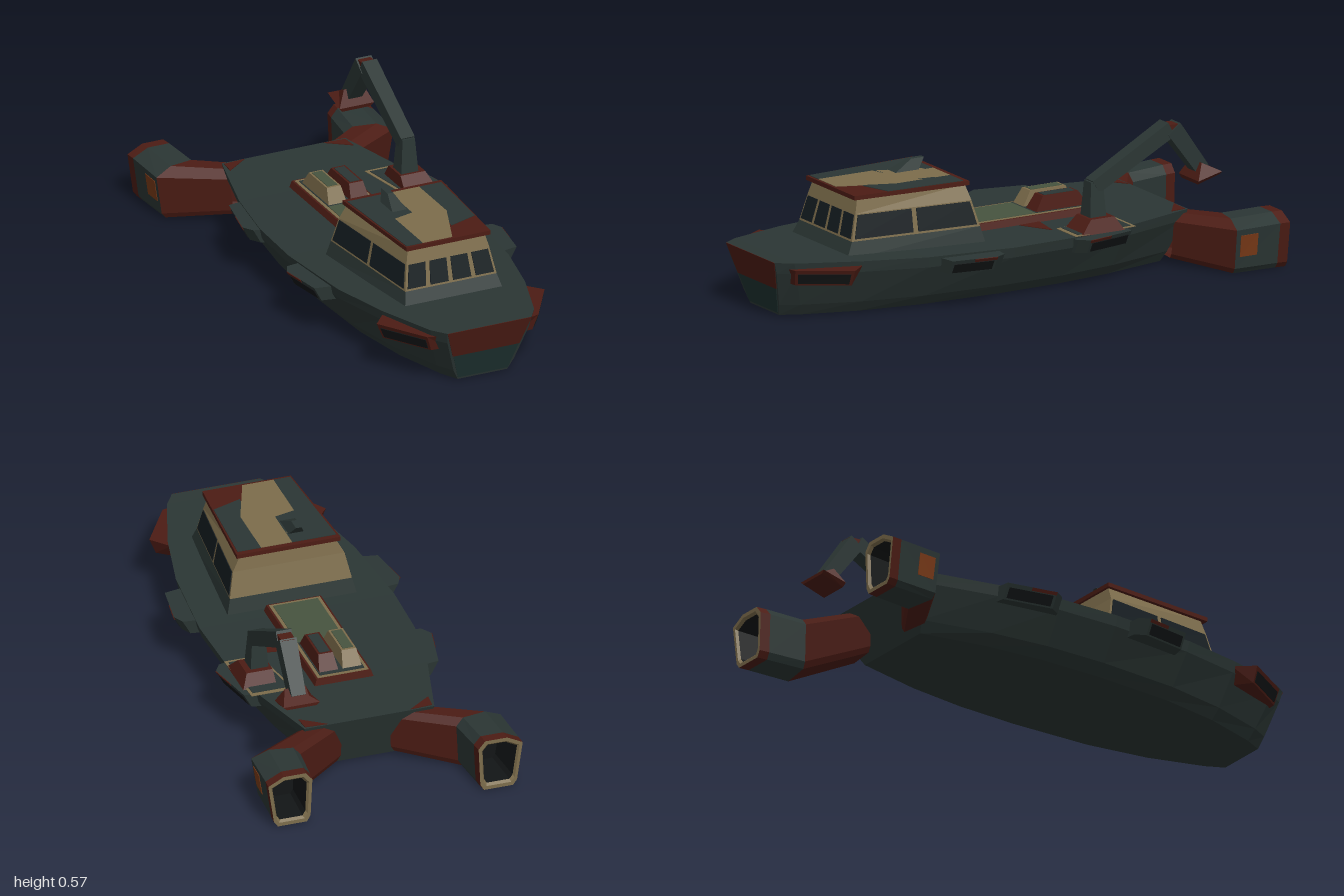
import * as THREE from 'three';

const V = (x, y, z) => new THREE.Vector3(x, y, z);
const paint = (color) => new THREE.MeshStandardMaterial({ color, flatShading: true, side: THREE.DoubleSide });
const slate = paint(0x2b3634), teal = paint(0x1e3230), red = paint(0x4c1c14), tan = paint(0x7c6c4b);
const green = paint(0x47543f), dark = paint(0x121516), glass = paint(0x141c20), rust = paint(0x7a3a18);

export function createModel() {
  const model = new THREE.Group();

  function add(name, geometry, material) {
    const mesh = new THREE.Mesh(geometry, material);
    mesh.name = name;
    model.add(mesh);
    return mesh;
  }

  // Flat-faced skin through matching rings; winding is corrected by signed volume
  function loft(name, rings, material, capped = true) {
    const tris = [];
    const n = rings[0].length;
    for (let r = 0; r < rings.length - 1; r++) {
      for (let i = 0; i < n; i++) {
        const j = (i + 1) % n;
        const [a, b, c, d] = [rings[r][i], rings[r][j], rings[r + 1][j], rings[r + 1][i]];
        tris.push([a, b, c], [a, c, d]);
      }
    }
    if (capped) {
      const first = rings[0], last = rings[rings.length - 1];
      for (let i = 1; i < n - 1; i++) {
        tris.push([first[0], first[i + 1], first[i]], [last[0], last[i], last[i + 1]]);
      }
    }
    const mid = V(0, 0, 0);
    rings.flat().forEach((p) => mid.addScaledVector(p, 1 / (n * rings.length)));
    let volume = 0;
    for (const [a, b, c] of tris) {
      volume += a.clone().sub(mid).dot(b.clone().sub(mid).cross(c.clone().sub(mid)));
    }
    const points = tris.flatMap(([a, b, c]) => (volume < 0 ? [a, c, b] : [a, b, c]));
    const geometry = new THREE.BufferGeometry().setFromPoints(points);
    geometry.computeVertexNormals();
    return add(name, geometry, material);
  }

  // Upright prism from an x/z outline; the second outline is the top
  const level = (outline, y) => outline.map(([x, z]) => V(x, y, z));
  const prism = (name, low, high, y0, y1, material) =>
    loft(name, [level(low, y0), level(high, y1)], material);
  const rect = (x0, x1, z0, z1) => [[x0, z0], [x1, z0], [x1, z1], [x0, z1]];

  // Thin panel on part of a four-cornered wall (corners: two bottom, two top)
  function panel(name, wall, [u0, u1, v0, v1], out, material, lift = 0.003) {
    const [a, b, c, d] = wall;
    const at = (u, v) => a.clone().lerp(b, u).lerp(d.clone().lerp(c, u), v);
    const normal = b.clone().sub(a).cross(d.clone().sub(a)).normalize();
    if (normal.dot(out) < 0) normal.negate();
    const base = [at(u0, v0), at(u1, v0), at(u1, v1), at(u0, v1)];
    loft(name, [base, base.map((p) => p.clone().addScaledVector(normal, lift))], material);
  }

  // Square beam between two points, tapering from w0 to w1
  function beam(name, a, b, w0, w1, material) {
    const dir = b.clone().sub(a).normalize();
    const side = V(1, 0, 0), up = dir.clone().cross(side);
    const ring = (p, w) => [[-1, -1], [1, -1], [1, 1], [-1, 1]].map(([s, t]) =>
      p.clone().addScaledVector(side, s * w / 2).addScaledVector(up, t * w / 2));
    loft(name, [ring(a, w0), ring(b, w1)], material);
  }

  // Hull stations: top z, top half width, top y, bottom z, bottom half width
  const stations = [
    [1, 0.17, 0.23, 0.94, 0.1], [0.94, 0.21, 0.228, 0.87, 0.135], [0.7, 0.29, 0.222, 0.66, 0.2],
    [0.45, 0.345, 0.215, 0.42, 0.24], [0.1, 0.375, 0.21, 0.1, 0.255], [-0.15, 0.368, 0.21, -0.15, 0.25],
    [-0.4, 0.33, 0.21, -0.38, 0.225], [-0.71, 0.25, 0.215, -0.64, 0.17],
  ];
  const steps = [[0, 0], [0.2, 0.32], [0.8, 0.92], [1, 1]];
  const half = ([zt, xt, yt, zb, xb], s) => steps.map(([h, w]) =>
    V(s * (xb + (xt - xb) * w), 0.01 + (yt - 0.01) * h, zb + (zt - zb) * h));
  loft('hull', stations.map((s) => [...half(s, 1), ...half(s, -1).reverse()]), slate);

  // Painted bow plate
  const bow = [V(-0.1, 0.01, 0.94), V(0.1, 0.01, 0.94), V(0.17, 0.23, 1), V(-0.17, 0.23, 1)];
  panel('bowLowerPlate', bow, [0.01, 0.99, 0.04, 0.5], V(0, 0, 1), teal, 0.002);
  panel('bowUpperPlate', bow, [0, 1, 0.5, 1], V(0, 0, 1), red, 0.002);

  for (const s of [1, -1]) {
    const side = s > 0 ? 'left' : 'right';
    const flip = (outline) => outline.map(([x, z]) => [s * x, z]);

    // Bow vent with slanted dark intake
    const ventLow = [[0.14, 0.94], [0.205, 0.935], [0.315, 0.76], [0.24, 0.7]];
    const ventTop = [[0.17, 0.96], [0.225, 0.945], [0.34, 0.76], [0.28, 0.69]];
    prism(side + 'BowVent', flip(ventLow), flip(ventTop), 0.145, 0.205, red);
    const ventWall = [V(s * 0.205, 0.145, 0.935), V(s * 0.315, 0.145, 0.76),
      V(s * 0.34, 0.205, 0.76), V(s * 0.225, 0.205, 0.945)];
    panel(side + 'BowIntake', ventWall, [0.05, 0.95, 0.12, 0.75], V(s, 0, 1), dark);

    // Side blisters
    const blisters = [
      ['Front', [[0.34, 0.16], [0.415, 0.17], [0.435, 0.21], [0.41, 0.385], [0.33, 0.4]]],
      ['Rear', [[0.33, -0.145], [0.39, -0.16], [0.415, -0.2], [0.375, -0.395], [0.31, -0.405]]],
    ];
    for (const [end, top] of blisters) {
      const low = top.map(([x, z]) => [x - 0.03, z]);
      prism(side + end + 'Blister', flip(low), flip(top), 0.15, 0.205, slate);
      const [p, q] = [2, 3];
      const wall = [V(s * low[p][0], 0.15, low[p][1]), V(s * low[q][0], 0.15, low[q][1]),
        V(s * top[q][0], 0.205, top[q][1]), V(s * top[p][0], 0.205, top[p][1])];
      panel(side + end + 'BlisterIntake', wall, [0.06, 0.94, 0.1, 0.75], V(s, 0, 0), dark);
      panel(side + end + 'BlisterRim', wall, [0, 0.5, 0.8, 1], V(s, 0, 0), red);
    }

    // Stern jet: elbow arm, housing, rim and hollow outlet
    const section = ([xi, zi], [xo, zo], y0, y1, inset = 0) => [
      [0.04, 0.12], [0.12, 0], [0.78, 0], [0.87, 0.1], [1, 0.85], [0.65, 1], [0.15, 1], [0, 0.85],
    ].map(([u, v]) => {
      const k = 0.5 + (u - 0.5) * (1 - inset), h = 0.5 + (v - 0.5) * (1 - inset);
      return V(s * (xi + (xo - xi) * k), y0 + (y1 - y0) * h, zi + (zo - zi) * k);
    });
    const root = section([0.09, -0.67], [0.25, -0.65], 0.03, 0.2);
    const elbow = section([0.3, -0.81], [0.48, -0.78], 0.005, 0.205);
    const band = section([0.315, -0.96], [0.487, -0.96], 0.005, 0.21);
    const end = section([0.32, -1], [0.49, -1], 0.005, 0.21);
    const lip = section([0.32, -1], [0.49, -1], 0.005, 0.21, 0.14);
    const throat = section([0.32, -0.99], [0.49, -0.99], 0.005, 0.21, 0.22);
    const back = section([0.31, -0.84], [0.48, -0.84], 0.005, 0.205, 0.3);
    loft(side + 'JetArm', [root, elbow], red, false);
    loft(side + 'JetHousing', [elbow, band], slate, false);
    loft(side + 'JetBand', [band, end], red, false);
    loft(side + 'JetRim', [end, lip, throat], tan, false);
    loft(side + 'JetDuct', [throat, back], dark, false);
    loft(side + 'JetDuctEnd', [back, back.map((p) => p.clone().add(V(0, 0, 0.01)))], dark);
    panel(side + 'JetMark', [elbow[3], band[3], band[4], elbow[4]], [0.1, 0.5, 0.3, 0.85], V(s, 0, 0), rust, 0.002);
    prism(side + 'SternMark', flip([[0.16, -0.705], [0.245, -0.7], [0.25, -0.64]]),
      flip([[0.16, -0.705], [0.245, -0.7], [0.25, -0.64]]), 0.21, 0.217, red);
  }

  // Cabin rings: height, rear half width, rear z, front half width, front z
  const tier = (y, xb, zb, xf, zf) => [V(-xf, y, zf), V(xf, y, zf), V(xb, y, zb), V(-xb, y, zb)];
  const foot = tier(0.205, 0.25, 0.15, 0.2, 0.71), sill = tier(0.268, 0.235, 0.165, 0.185, 0.68);
  const head = tier(0.365, 0.215, 0.19, 0.168, 0.655), eave = tier(0.42, 0.185, 0.2, 0.155, 0.64);
  loft('cabinBase', [foot, sill], slate);
  loft('cabinWalls', [sill, head, eave], tan);
  const walls = [V(0, 0, 1), V(1, 0, 0), V(0, 0, -1), V(-1, 0, 0)];
  walls.forEach((out, i) => {
    const j = (i + 1) % 4;
    const wall = [sill[i], sill[j], head[j], head[i]];
    const count = [4, 2, 0, 2][i];
    for (let k = 0; k < count; k++) {
      const gap = count === 4 ? 0.025 : 0.02;
      panel('cabinWindow', wall, [k / count + gap, (k + 1) / count - gap, 0.08, 0.96], out, glass);
    }
  });

  // Roof slab with painted patches and a raked mast
  loft('roof', [tier(0.418, 0.2, 0.19, 0.17, 0.66), tier(0.434, 0.2, 0.19, 0.17, 0.66)], red);
  const patch = (name, outline, y, material) => prism(name, outline, outline, y, y + 0.002, material);
  patch('roofRightPatch', [[-0.19, 0.21], [-0.02, 0.21], [-0.02, 0.4], [-0.1, 0.42], [-0.1, 0.65], [-0.165, 0.65]], 0.434, slate);
  patch('roofCentrePatch', [[-0.02, 0.21], [0.1, 0.21], [0.1, 0.44], [0.02, 0.65], [-0.1, 0.65], [-0.1, 0.42], [-0.02, 0.4]], 0.434, tan);
  patch('roofLeftPatch', [[0.1, 0.21], [0.19, 0.21], [0.175, 0.52], [0.06, 0.56], [0.1, 0.44]], 0.434, slate);
  loft('mast', [
    level(rect(-0.085, -0.025, 0.27, 0.37), 0.434), level(rect(-0.066, -0.044, 0.235, 0.29), 0.475),
  ], slate);

  // Deck well: red coaming, tan trim, green floor and two lockers
  prism('wellCoaming', rect(-0.115, 0.115, -0.43, 0.14), rect(-0.105, 0.105, -0.425, 0.135), 0.205, 0.235, red);
  patch('wellTrim', rect(-0.098, 0.098, -0.418, 0.128), 0.235, tan);
  patch('wellFloor', rect(-0.086, 0.086, -0.16, 0.115), 0.237, green);
  patch('wellRearFloor', rect(-0.086, 0.086, -0.405, -0.16), 0.237, slate);
  for (const [name, x, material] of [['rightLocker', -0.045, tan], ['leftLocker', 0.045, red]]) {
    prism(name, rect(x - 0.037, x + 0.037, -0.39, -0.165), rect(x - 0.028, x + 0.028, -0.35, -0.2), 0.235, 0.293, material);
    patch(name + 'Lid', rect(x - 0.02, x + 0.02, -0.34, -0.21), 0.293, material === tan ? green : slate);
  }

  // Crane on the rear left deck
  const x = 0.288;
  const pad = [[0.19, -0.425], [0.355, -0.425], [0.37, -0.16], [0.235, -0.16]];
  patch('cranePadTrim', pad, 0.212, tan);
  patch('cranePad', pad.map(([px, pz]) => [0.287 + (px - 0.287) * 0.86, -0.29 + (pz + 0.29) * 0.88]), 0.215, slate);
  prism('craneFoot', rect(0.24, 0.368, -0.37, -0.19), rect(0.245, 0.345, -0.34, -0.24), 0.21, 0.26, red);
  beam('cranePost', V(x, 0.25, -0.285), V(x, 0.39, -0.285), 0.07, 0.05, slate);
  beam('craneBoom', V(x, 0.37, -0.28), V(x, 0.545, -0.6), 0.055, 0.06, slate);
  beam('craneElbow', V(x, 0.535, -0.57), V(x, 0.535, -0.64), 0.055, 0.05, red);
  beam('craneForearm', V(x, 0.545, -0.61), V(x, 0.375, -0.735), 0.065, 0.055, slate);
  loft('craneGrab', [
    [V(0.25, 0.405, -0.72), V(0.33, 0.405, -0.72), V(0.33, 0.385, -0.76), V(0.25, 0.385, -0.76)],
    [V(0.218, 0.345, -0.69), V(0.358, 0.345, -0.69), V(0.358, 0.37, -0.79), V(0.218, 0.37, -0.79)],
    [V(0.23, 0.33, -0.695), V(0.345, 0.33, -0.695), V(0.345, 0.358, -0.79), V(0.23, 0.358, -0.79)],
  ], red);
  patch('deckStripe', [[0.115, -0.16], [0.24, -0.14], [0.12, -0.07]], 0.211, red);
  return model;
}
